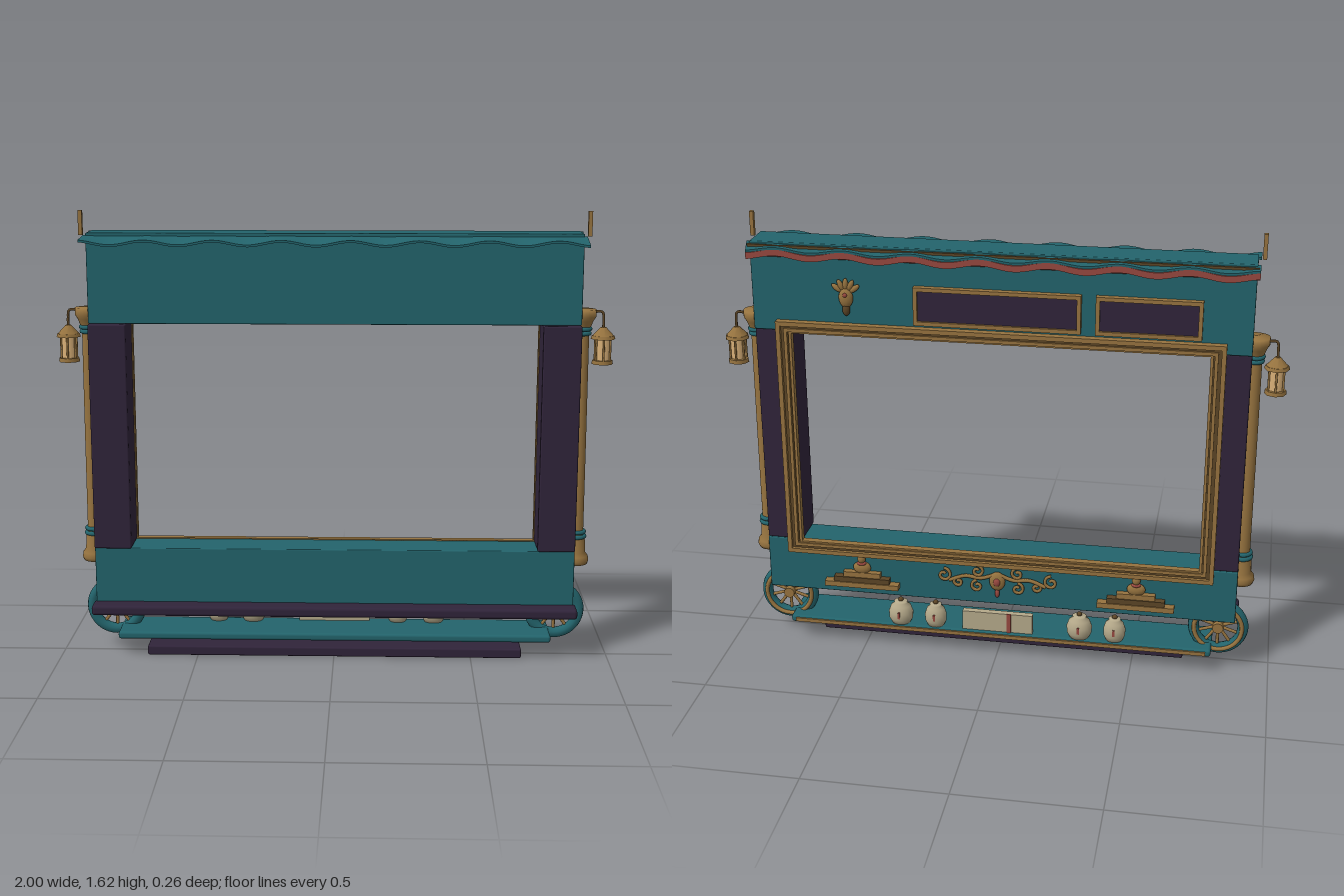
import * as THREE from 'three';
import { RoundedBoxGeometry } from 'three/addons/geometries/RoundedBoxGeometry.js';

const mat = (name, color) => {
  const m = new THREE.MeshStandardMaterial({ color });
  m.name = name;
  return m;
};

export function createModel() {
  const teal = mat('teal', 0x23646c);
  const purple = mat('dark purple', 0x30243a);
  const gold = mat('gold', 0x96733f);
  const bronze = mat('bronze', 0x5c4526);
  const cream = mat('cream', 0xb5a98a);
  const glass = mat('lamp glass', 0xe0b67c);
  const rose = mat('rose', 0x97483f);

  const model = new THREE.Group();
  model.name = 'stageFront';

  const add = (parent, name, geo, material, x = 0, y = 0, z = 0) => {
    const m = new THREE.Mesh(geo, material);
    m.name = name;
    m.position.set(x, y, z);
    parent.add(m);
    return m;
  };
  const group = (name, x = 0, y = 0, z = 0) => {
    const g = new THREE.Group();
    g.name = name;
    g.position.set(x, y, z);
    model.add(g);
    return g;
  };
  // box given by its limits on each axis
  const block = (parent, name, material, x0, x1, y0, y1, z0, z1, r = 0) => {
    const s = [x1 - x0, y1 - y0, z1 - z0];
    const geo = r ? new RoundedBoxGeometry(...s, 2, r) : new THREE.BoxGeometry(...s);
    return add(parent, name, geo, material, (x0 + x1) / 2, (y0 + y1) / 2, (z0 + z1) / 2);
  };
  const lathe = (pts, n = 24) => new THREE.LatheGeometry(pts.map(p => new THREE.Vector2(...p)), n);
  const tube = (pts, r, n = 24) =>
    new THREE.TubeGeometry(new THREE.CatmullRomCurve3(pts.map(p => new THREE.Vector3(...p))), n, r, 6);
  // rectangular moulding with an open centre
  const frame = (w, h, t, depth) => {
    const rect = (P, a, b) => {
      const p = new P();
      p.moveTo(-a, -b); p.lineTo(a, -b); p.lineTo(a, b); p.lineTo(-a, b); p.closePath();
      return p;
    };
    const s = rect(THREE.Shape, w / 2, h / 2);
    s.holes.push(rect(THREE.Path, w / 2 - t, h / 2 - t));
    return new THREE.ExtrudeGeometry(s, { depth, bevelEnabled: false });
  };

  // main surround
  block(model, 'header', teal, -0.87, 0.87, 1.225, 1.545, -0.09, 0.04, 0.004);
  block(model, 'lowerPanel', teal, -0.87, 0.87, 0.2, 0.405, -0.085, 0.05, 0.004);
  block(model, 'frontLedge', purple, -0.88, 0.88, 0.165, 0.203, 0.03, 0.11, 0.012);
  block(model, 'shelf', teal, -0.79, 0.79, 0.065, 0.093, -0.112, 0.075, 0.01);
  block(model, 'shelfTrim', gold, -0.77, 0.77, 0.072, 0.086, -0.118, -0.11);
  block(model, 'lowerStep', purple, -0.685, 0.685, 0, 0.035, -0.025, 0.06, 0.006);

  // rippled cloth strips: t runs from the fixed edge to the free edge
  const cloth = (name, material, yIn, zIn, yOut, zOut, thick, amp) => {
    const geo = new THREE.BoxGeometry(1.76, thick, 1, 120, 1, 4);
    const p = geo.attributes.position;
    for (let i = 0; i < p.count; i++) {
      const t = p.getZ(i) + 0.5;
      const wave = amp * Math.sin(p.getX(i) * Math.PI * 8.4);
      const y = yIn + (yOut - yIn) * t + wave * t + p.getY(i);
      p.setXYZ(i, p.getX(i), y, zIn + (zOut - zIn) * t);
    }
    if (zOut < zIn) { // reversed depth flips the corner order
      const ix = geo.index.array;
      for (let i = 0; i < ix.length; i += 3) [ix[i], ix[i + 1]] = [ix[i + 1], ix[i]];
    }
    geo.computeVertexNormals();
    return add(model, name, geo, material);
  };
  cloth('frontAwning', teal, 1.532, 0.03, 1.516, 0.128, 0.008, 0.008);
  cloth('backAwning', teal, 1.538, -0.085, 1.517, -0.106, 0.01, 0.007);
  cloth('backAwningTrim', rose, 1.503, -0.09, 1.503, -0.109, 0.022, 0.008);
  block(model, 'topBackTrim', bronze, -0.875, 0.875, 1.527, 1.536, -0.1, -0.09);

  // layered moulding around the opening
  const fr = group('openingFrame', 0, 0.815, 0);
  const layers = [[1.57, 0.9, 0.016, gold, -0.118], [1.542, 0.872, 0.014, bronze, -0.105],
    [1.516, 0.848, 0.012, gold, -0.112], [1.494, 0.838, 0.01, bronze, -0.1], [1.484, 0.832, 0.01, gold, -0.106]];
  layers.forEach(([w, h, t, m, z]) => add(fr, 'moulding', frame(w, h, t, -0.08 - z), m, 0, 0, z));

  // sign panels on the back
  [[0, 0.58], [-0.52, 0.36]].forEach(([x, w]) => {
    const g = group('signPanel', x, 1.345, 0);
    block(g, 'panelFace', purple, -w / 2 + 0.008, w / 2 - 0.008, -0.06, 0.06, -0.104, -0.088);
    add(g, 'panelFrame', frame(w, 0.136, 0.014, 0.026), gold, 0, 0, -0.114);
  });

  // crest on the back of the header
  const crest = group('crest', 0.53, 1.36, -0.098);
  const ball = (g, name, m, x, y, z, sx, sy, sz) =>
    add(g, name, new THREE.SphereGeometry(1, 14, 10), m, x, y, z).scale.set(sx, sy, sz);
  ball(crest, 'crestFace', gold, 0, 0, 0, 0.026, 0.036, 0.016);
  ball(crest, 'crestChin', bronze, 0, -0.042, 0, 0.014, 0.024, 0.012);
  ball(crest, 'crestGem', rose, 0, 0.012, -0.013, 0.008, 0.008, 0.006);
  for (let i = 0; i < 5; i++) {
    const a = (i - 2) * 0.45;
    const leaf = add(crest, 'crestLeaf', new THREE.SphereGeometry(1, 10, 8), gold, Math.sin(a) * 0.04, 0.01 + Math.cos(a) * 0.038, 0);
    leaf.scale.set(0.01, 0.022, 0.009);
    leaf.rotation.z = -a;
  }

  // scroll ornament on the lower panel
  const scroll = group('scrollOrnament', 0, 0.3, -0.095);
  ball(scroll, 'scrollCentre', gold, 0, 0, 0, 0.03, 0.038, 0.014);
  ball(scroll, 'scrollGem', rose, 0, 0, -0.012, 0.013, 0.016, 0.008);
  ball(scroll, 'scrollDrop', rose, 0, -0.05, 0, 0.009, 0.018, 0.009);
  const spiral = (cx, cy, r, start, dir) => Array.from({ length: 14 }, (_, i) => {
    const a = start + dir * i * 0.55, q = r * (1 - i / 17);
    return [cx + q * Math.cos(a), cy + q * Math.sin(a), 0];
  });
  for (const s of [1, -1]) {
    add(scroll, 'scrollArm', tube([[0, 0.03, 0], [s * 0.06, 0.008, 0], [s * 0.12, 0.012, 0], [s * 0.18, -0.01, 0]], 0.007), gold);
    [[0.075, 0.035, 0.024, 1], [0.075, -0.026, 0.024, -1], [0.2, 0.01, 0.028, 1], [0.145, -0.015, 0.02, -1]].forEach(([x, y, r, d]) =>
      add(scroll, 'scrollCurl', tube(spiral(s * x, y, r, Math.PI / 2, s * d), 0.006, 40), gold));
  }

  for (const s of [1, -1]) {
    block(model, 'sidePillar', purple, s * 0.8025 - 0.0675, s * 0.8025 + 0.0675, 0.405, 1.225, -0.082, 0.06, 0.006);
    block(model, 'topPost', gold, s * 0.89 - 0.007, s * 0.89 + 0.007, 1.535, 1.622, 0.008, 0.024);

    // turned column with coloured rings
    const col = group('column', s * 0.88, 0, -0.025);
    add(col, 'columnShaft', lathe([[0, 0.342], [0.044, 0.342], [0.049, 0.355], [0.046, 0.372], [0.036, 0.385], [0.034, 0.43],
      [0.027, 0.45], [0.026, 0.8], [0.024, 1.2], [0.03, 1.215], [0.038, 1.235], [0.047, 1.25], [0.047, 1.275], [0, 1.278]]), gold);
    for (const [y, r] of [[0.445, 0.031], [0.462, 0.029], [1.19, 0.025], [1.206, 0.027]]) {
      const ring = add(col, 'columnRing', new THREE.TorusGeometry(r, 0.008, 8, 24), teal, 0, y, 0);
      ring.rotation.x = Math.PI / 2;
    }

    // hanging lantern
    const lamp = group('lantern', s * 0.955, 0, -0.035);
    add(lamp, 'lanternArm', tube([[-s * 0.05, 1.235, 0], [-s * 0.035, 1.262, 0], [-s * 0.005, 1.264, 0], [0, 1.235, 0], [0, 1.205, 0]], 0.005), bronze);
    add(lamp, 'lanternGlass', new THREE.CylinderGeometry(0.027, 0.025, 0.085, 6), glass, 0, 1.13, 0);
    add(lamp, 'lanternBase', new THREE.CylinderGeometry(0.036, 0.038, 0.014, 8), gold, 0, 1.085, 0);
    add(lamp, 'lanternEave', new THREE.CylinderGeometry(0.04, 0.044, 0.012, 8), gold, 0, 1.174, 0);
    add(lamp, 'lanternRoof', new THREE.CylinderGeometry(0.01, 0.038, 0.03, 8), gold, 0, 1.195, 0);
    for (let i = 0; i < 6; i++) {
      const a = i * Math.PI / 3;
      add(lamp, 'lanternBar', new THREE.CylinderGeometry(0.004, 0.004, 0.085, 6), gold, 0.029 * Math.sin(a), 1.13, 0.029 * Math.cos(a));
    }

    // spoked wheel
    const wheel = group('wheel', s * 0.81, 0.16, -0.038);
    add(wheel, 'wheelRim', new THREE.TorusGeometry(0.09, 0.02, 10, 40), teal);
    add(wheel, 'wheelBand', new THREE.TorusGeometry(0.087, 0.008, 8, 40), gold, 0, 0, -0.02);
    const hub = add(wheel, 'wheelHub', new THREE.CylinderGeometry(0.02, 0.02, 0.05, 16), gold);
    hub.rotation.x = Math.PI / 2;
    for (let i = 0; i < 5; i++) {
      const spoke = add(wheel, 'wheelSpoke', new THREE.CylinderGeometry(0.006, 0.006, 0.16, 8), gold);
      spoke.rotation.z = i * Math.PI / 5;
    }

    // stepped plinth with a small bust
    const plinth = group('plinthOrnament', s * 0.51, 0, 0);
    [[0.14, 0.235], [0.105, 0.255], [0.07, 0.275]].forEach(([w, y], i) =>
      block(plinth, 'plinthStep', i % 2 ? bronze : gold, -w, w, y, y + 0.02, -0.116 + i * 0.004, -0.08));
    ball(plinth, 'bustBody', gold, 0, 0.312, -0.095, 0.034, 0.025, 0.017);
    ball(plinth, 'bustCollar', rose, 0, 0.332, -0.1, 0.018, 0.008, 0.014);
    ball(plinth, 'bustHead', gold, 0, 0.352, -0.1, 0.016, 0.02, 0.014);
  }

  // jars on the shelf
  [[-0.435, 0.041], [-0.305, 0.047], [0.235, 0.041], [0.368, 0.046]].forEach(([x, r]) => {
    const jar = group('jar', x, 0.093, -0.085);
    const body = add(jar, 'jarBody', lathe([[0, 0], [r * 0.75, 0], [r * 0.97, 0.02], [r, 0.045], [r * 0.8, 0.07], [r * 0.5, 0.08], [r * 0.55, 0.088], [0, 0.09]]), cream);
    body.scale.z = 0.85;
    ball(jar, 'jarKnob', bronze, 0, 0.093, 0, 0.01, 0.009, 0.01);
    block(jar, 'jarMark', rose, -0.004, 0.004, 0.03, 0.055, -r * 0.85 - 0.003, -r * 0.85 + 0.004);
  });

  // folded parchment on the shelf
  const paper = group('parchment', 0, 0.093, -0.09);
  block(paper, 'parchmentSheet', cream, -0.132, 0.13, 0, 0.075, -0.012, 0.012);
  block(paper, 'parchmentRibbon', rose, -0.052, -0.036, 0, 0.077, -0.016, -0.01);

  return model;
}
